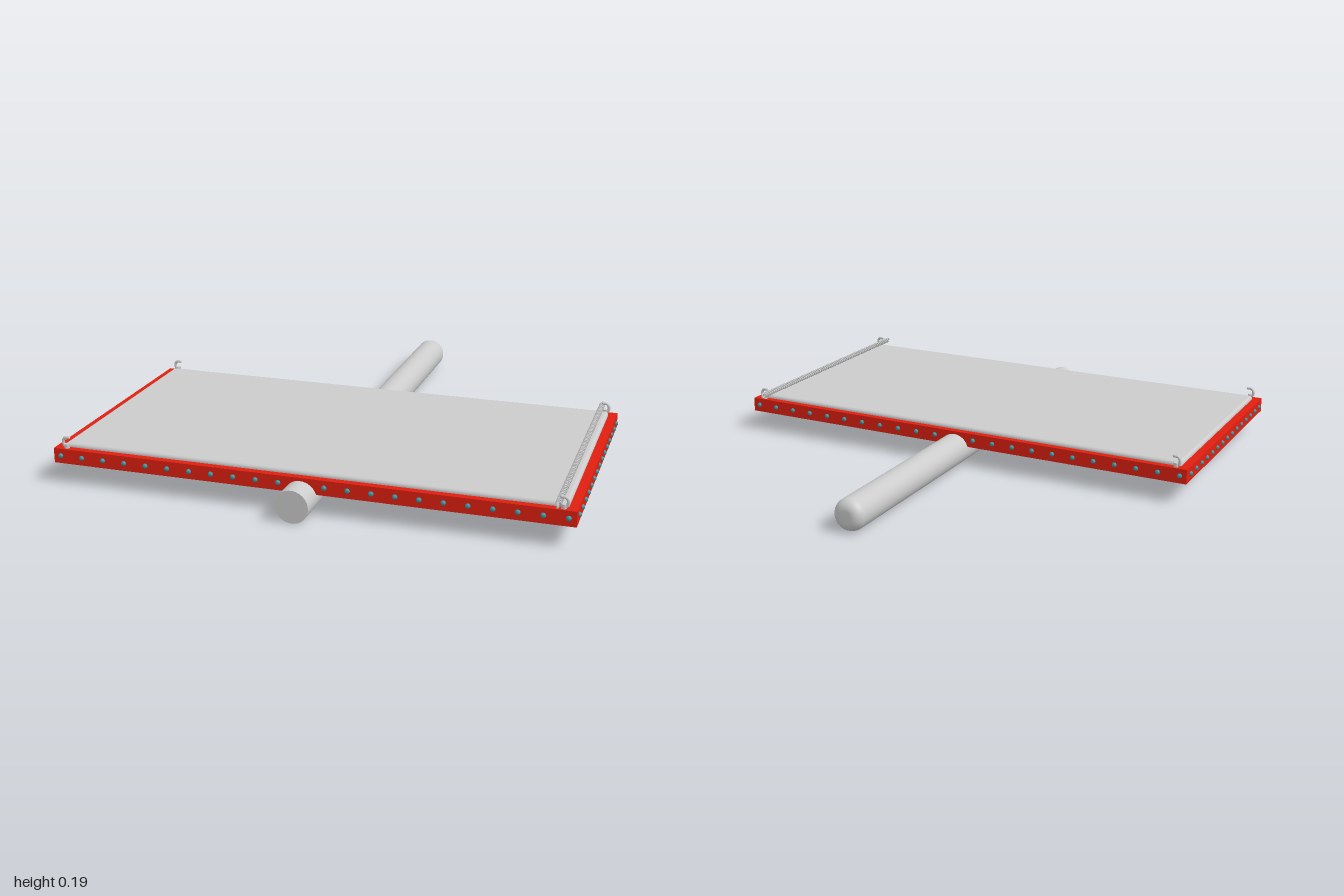
import * as THREE from 'three';
import { RoundedBoxGeometry } from 'three/addons/geometries/RoundedBoxGeometry.js';

const grey = new THREE.MeshStandardMaterial({ color: 0xcccccc });
const red = new THREE.MeshStandardMaterial({ color: 0xe02010 });
const teal = new THREE.MeshStandardMaterial({ color: 0x3f8f9c });

// Panel and frame sit forward of the middle
const CZ = 0.368, HX = 0.99, HZ = 0.508;

function rectangle(path, hx, hz) {
  path.moveTo(-hx, -hz);
  path.lineTo(hx, -hz);
  path.lineTo(hx, hz);
  path.lineTo(-hx, hz);
  path.closePath();
  return path;
}

export function createModel() {
  const model = new THREE.Group();
  const add = (name, geometry, material, x = 0, y = 0, z = 0, parent = model) => {
    const mesh = new THREE.Mesh(geometry, material);
    mesh.name = name;
    mesh.position.set(x, y, z);
    parent.add(mesh);
    return mesh;
  };

  // Pole: flat at the front, rounded at the back
  const r = 0.063, round = 0.04;
  const body = [new THREE.Vector2(r, -0.968)];
  for (let i = 0; i <= 8; i++) {
    const a = (i / 8) * Math.PI / 2;
    body.push(new THREE.Vector2(r - round + round * Math.cos(a), 0.97 - round + round * Math.sin(a)));
  }
  body.push(new THREE.Vector2(0, 0.97));
  add('pole', new THREE.LatheGeometry(body, 40), grey, -0.003, r, 0).rotation.x = -Math.PI / 2;
  add('poleFrontCap', new THREE.CircleGeometry(r, 40), grey, -0.003, r, 0.968);

  // Bed panel with softened edges
  add('panel', new RoundedBoxGeometry(1.914, 0.084, 0.962, 3, 0.014), grey, 0, 0.112, CZ);

  // Open rectangular frame around the panel
  const outline = rectangle(new THREE.Shape(), HX, HZ);
  outline.holes.push(rectangle(new THREE.Path(), 0.957, 0.478));
  const frameGeometry = new THREE.ExtrudeGeometry(outline, { depth: 0.058, bevelEnabled: false });
  frameGeometry.rotateX(-Math.PI / 2);
  add('frame', frameGeometry, red, 0, 0.08, CZ);

  // Studs along all four sides
  const studs = new THREE.Group();
  studs.name = 'studs';
  model.add(studs);
  const studGeometry = new THREE.SphereGeometry(0.01, 10, 8);
  for (const side of [-1, 1]) {
    for (let i = 0; i < 23; i++) {
      add('stud', studGeometry, teal, -0.962 + (i * 1.924) / 22, 0.11, CZ + side * HZ, studs);
    }
    for (let i = 0; i < 15; i++) {
      add('stud', studGeometry, teal, side * HX, 0.11, CZ - 0.463 + (i * 0.926) / 14, studs);
    }
  }

  // Curved hooks at the corners, tips bending inwards
  for (const sx of [-1, 1]) {
    for (const sz of [-1, 1]) {
      const points = [[0.935, 0.135], [0.952, 0.148], [0.956, 0.165], [0.948, 0.178], [0.932, 0.18]];
      const curve = new THREE.CatmullRomCurve3(points.map(([x, y]) => new THREE.Vector3(sx * x, y, 0)));
      const z = CZ + sz * 0.492;
      const hook = add('hook', new THREE.TubeGeometry(curve, 16, 0.006, 8), grey, 0, 0, z);
      add('hookTip', new THREE.SphereGeometry(0.006, 8, 6), grey, sx * 0.932, 0.18, 0, hook);
      add('hookBase', new THREE.CylinderGeometry(0.01, 0.01, 0.03, 10), grey, sx * 0.942, 0.14, 0, hook);
    }
  }

  // Long coiled spring held by the hooks on one side
  const turns = 72, length = 1.05, coil = [];
  for (let i = 0; i <= turns * 8; i++) {
    const a = (i / 8) * Math.PI * 2;
    coil.push(new THREE.Vector3(0.0085 * Math.cos(a), 0.0085 * Math.sin(a), (i / (turns * 8) - 0.5) * length));
  }
  const helix = new THREE.CatmullRomCurve3(coil);
  helix.arcLengthDivisions = 2000;
  add('spring', new THREE.TubeGeometry(helix, turns * 10, 0.0035, 6), grey, 0.925, 0.163, CZ);
  for (const s of [-1, 1]) {
    add('springEnd', new THREE.TorusGeometry(0.009, 0.0035, 6, 14), grey, 0.925, 0.163, CZ + s * 0.53)
      .rotation.y = Math.PI / 2;
  }
  return model;
}
